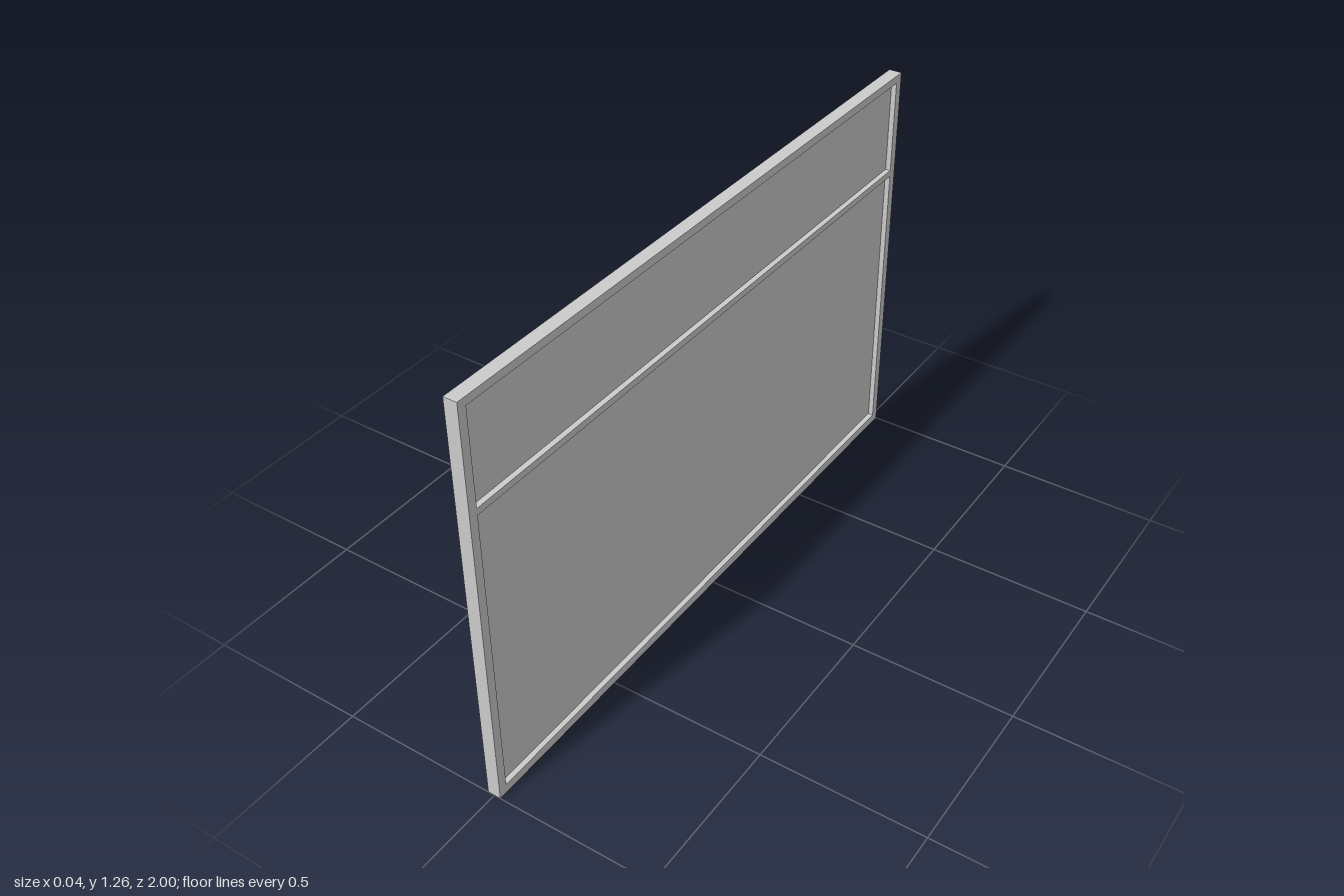
import * as THREE from 'three';

// Framed two-pane panel standing in the YZ plane
const LENGTH = 2, HEIGHT = 1.265, DEPTH = 0.04;
const SIDE = 0.027, BOTTOM = 0.028, TOP = 0.024;
const RAIL_LOW = 0.933, RAIL_HIGH = 0.953;
const PANE_DEPTH = 0.008;

export function createModel() {
  const group = new THREE.Group();
  const material = new THREE.MeshStandardMaterial({ color: 0xcccccc });
  const half = LENGTH / 2, inner = half - SIDE;
  const openings = [
    ['lowerPane', BOTTOM, RAIL_LOW],
    ['upperPane', RAIL_HIGH, HEIGHT - TOP],
  ];

  const rectangle = (path, w, y0, y1) => {
    path.moveTo(-w, y0);
    path.lineTo(w, y0);
    path.lineTo(w, y1);
    path.lineTo(-w, y1);
    path.closePath();
    return path;
  };

  // Outer frame and cross rail in one piece, with a hole for each pane
  const outline = rectangle(new THREE.Shape(), half, 0, HEIGHT);
  for (const [, y0, y1] of openings) {
    outline.holes.push(rectangle(new THREE.Path(), inner, y0, y1));
  }
  const frameGeometry = new THREE.ExtrudeGeometry(outline, { depth: DEPTH, bevelEnabled: false });
  frameGeometry.translate(0, 0, -DEPTH / 2);
  frameGeometry.rotateY(Math.PI / 2);
  const frame = new THREE.Mesh(frameGeometry, material);
  frame.name = 'frame';
  group.add(frame);

  // Thin panes recessed on both sides
  for (const [name, y0, y1] of openings) {
    const pane = new THREE.Mesh(new THREE.BoxGeometry(PANE_DEPTH, y1 - y0, inner * 2), material);
    pane.position.y = (y0 + y1) / 2;
    pane.name = name;
    group.add(pane);
  }
  return group;
}
